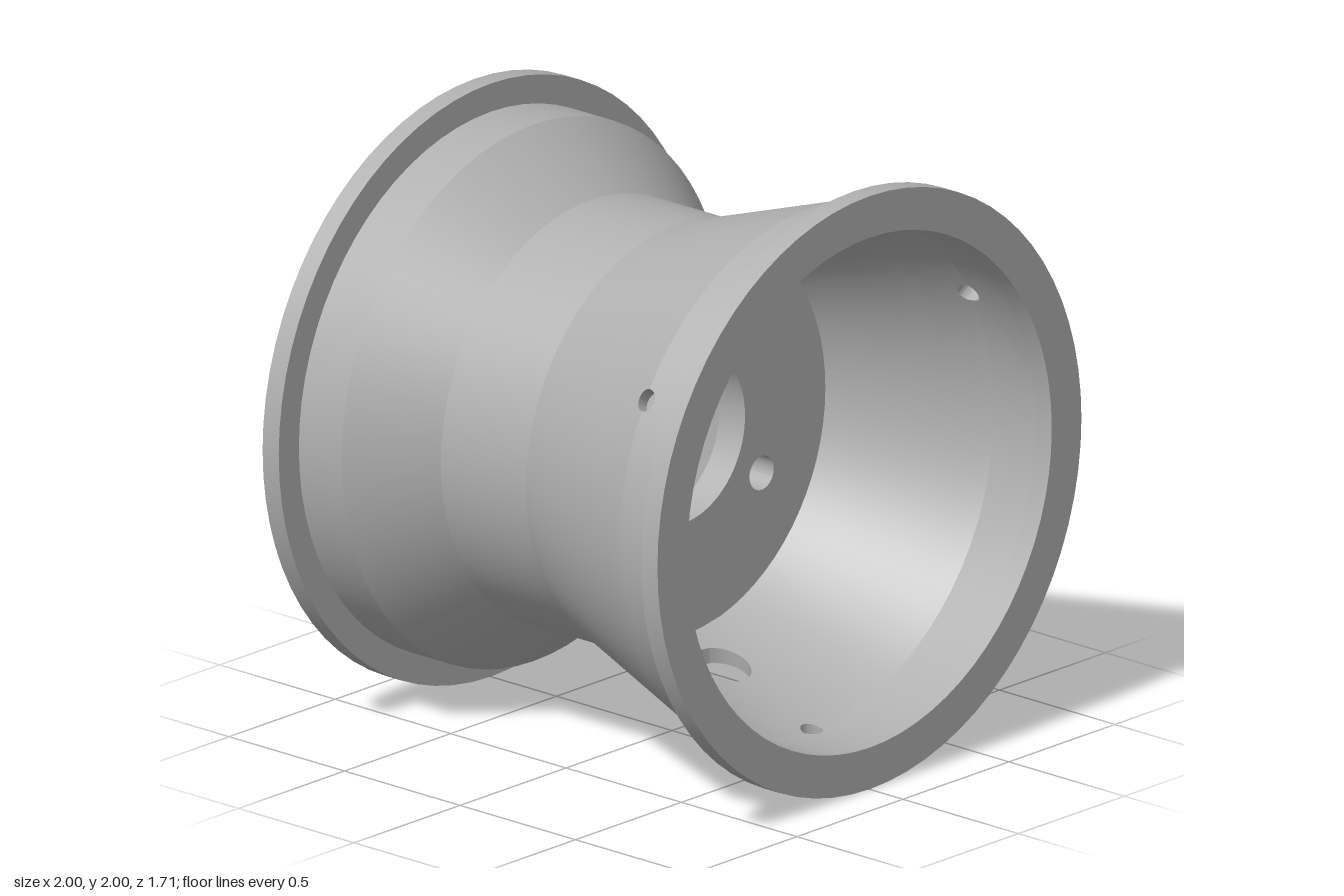
import * as THREE from 'three';
import { toCreasedNormals } from 'three/addons/utils/BufferGeometryUtils.js';

const STEP = Math.PI / 36; // 72 segments round the wheel
const SIDE = 6;            // steps along each side of a drilled tile
const CREASE = 0.27;
const lerp = THREE.MathUtils.lerp;

// Wall radius along the front half of the barrel
const outerR = z => z > 0.605 ? 0.905 : lerp(0.71, 0.905, (z - 0.02) / 0.585);
const innerR = z => z > 0.605 ? 0.86 : lerp(0.66, 0.86, Math.max(0, z - 0.03) / 0.575);

const point = (t, z, r) => [r * Math.cos(t), r * Math.sin(t), z];

function quad(out, a, b, c, d, flip) {
  if (flip) out.push(...a, ...c, ...b, ...a, ...d, ...c);
  else out.push(...a, ...b, ...c, ...a, ...c, ...d);
}

// Plain curved wall, both skins
function plainWall(out, t0, steps, z0, z1) {
  for (const [radius, flip] of [[outerR, false], [innerR, true]]) {
    const p = (i, j) => {
      const z = lerp(z0, z1, j / SIDE);
      return point(t0 + i * STEP, z, radius(z));
    };
    for (let i = 0; i < steps; i++)
      for (let j = 0; j < SIDE; j++)
        quad(out, p(i, j), p(i + 1, j), p(i + 1, j + 1), p(i, j + 1), flip);
  }
}

// Curved wall tile with a round hole through its middle
function drilledWall(out, t, z0, z1, holeR) {
  const zc = (z0 + z1) / 2, halfT = STEP * SIDE / 2, halfZ = (z1 - z0) / 2;
  const holeT = holeR / ((outerR(zc) + innerR(zc)) / 2);
  const border = [];
  for (let s = 0; s < 4; s++)
    for (let k = 0; k < SIDE; k++) {
      const e = -1 + 2 * k / SIDE;
      border.push([[e, -1], [1, e], [-e, 1], [-1, -e]][s]);
    }
  const n = border.length, rings = 6;
  const p = (i, j, radius) => {
    const [u, v] = border[i % n], l = Math.hypot(u, v), f = j / rings;
    const z = zc + lerp(holeR * v / l, halfZ * v, f);
    return point(t + lerp(holeT * u / l, halfT * u, f), z, radius(z));
  };
  for (let i = 0; i < n; i++) {
    for (const [radius, flip] of [[outerR, false], [innerR, true]])
      for (let j = 0; j < rings; j++)
        quad(out, p(i, j, radius), p(i, j + 1, radius), p(i + 1, j + 1, radius), p(i + 1, j, radius), flip);
    quad(out, p(i, 0, innerR), p(i, 0, outerR), p(i + 1, 0, outerR), p(i + 1, 0, innerR));
  }
}

// Ring turned about the z axis from [radius, z] points
function turned(profile) {
  const g = new THREE.LatheGeometry(profile.map(([r, z]) => new THREE.Vector2(r, z)), 72);
  g.rotateX(Math.PI / 2);
  return toCreasedNormals(g, CREASE);
}

export function createModel() {
  const model = new THREE.Group();
  model.name = 'wheelRim';
  const metal = new THREE.MeshStandardMaterial({ color: 0xb0b0b0 });
  metal.name = 'greyMetal';
  const wheel = new THREE.Group();
  wheel.name = 'wheel';
  wheel.position.y = 1;
  model.add(wheel);
  const add = (name, geometry) => {
    const mesh = new THREE.Mesh(geometry, metal);
    mesh.name = name;
    wheel.add(mesh);
  };

  // Front barrel: one large hole below, three small holes near the flange
  const deg = Math.PI / 180, tris = [];
  drilledWall(tris, 270 * deg, 0.02, 0.425, 0.09);
  plainWall(tris, 285 * deg, 66, 0.02, 0.425);
  for (const a of [30, 150, 270]) {
    drilledWall(tris, a * deg, 0.425, 0.785, 0.037);
    plainWall(tris, (a + 15) * deg, 18, 0.425, 0.785);
  }
  const barrel = new THREE.BufferGeometry();
  barrel.setAttribute('position', new THREE.Float32BufferAttribute(tris, 3));
  add('frontBarrel', toCreasedNormals(barrel, CREASE));

  // Front flange
  add('frontFlange', turned([[0.905, 0.785], [1, 0.785], [1, 0.855], [0.86, 0.855], [0.86, 0.785]]));

  // Back barrel with its flange
  add('backBarrel', turned([
    [0.66, -0.05], [0.66, -0.365], [0.86, -0.615], [0.86, -0.855], [1, -0.855], [1, -0.785],
    [0.905, -0.785], [0.905, -0.6], [0.71, -0.35], [0.71, 0.02],
  ]));

  // Mounting disc with centre bore and three bolt holes
  const disc = new THREE.Shape().absarc(0, 0, 0.675, 0, Math.PI * 2);
  const bore = (x, y, r) => disc.holes.push(new THREE.Path().absarc(x, y, r, 0, Math.PI * 2, true));
  bore(0, 0, 0.29);
  for (const a of [90, 210, 330]) bore(0.425 * Math.cos(a * deg), 0.425 * Math.sin(a * deg), 0.057);
  const plate = new THREE.ExtrudeGeometry(disc, { depth: 0.11, bevelEnabled: false, curveSegments: 36 });
  plate.translate(0, 0, -0.06);
  add('mountingDisc', toCreasedNormals(plate, 0.5));

  return model;
}
